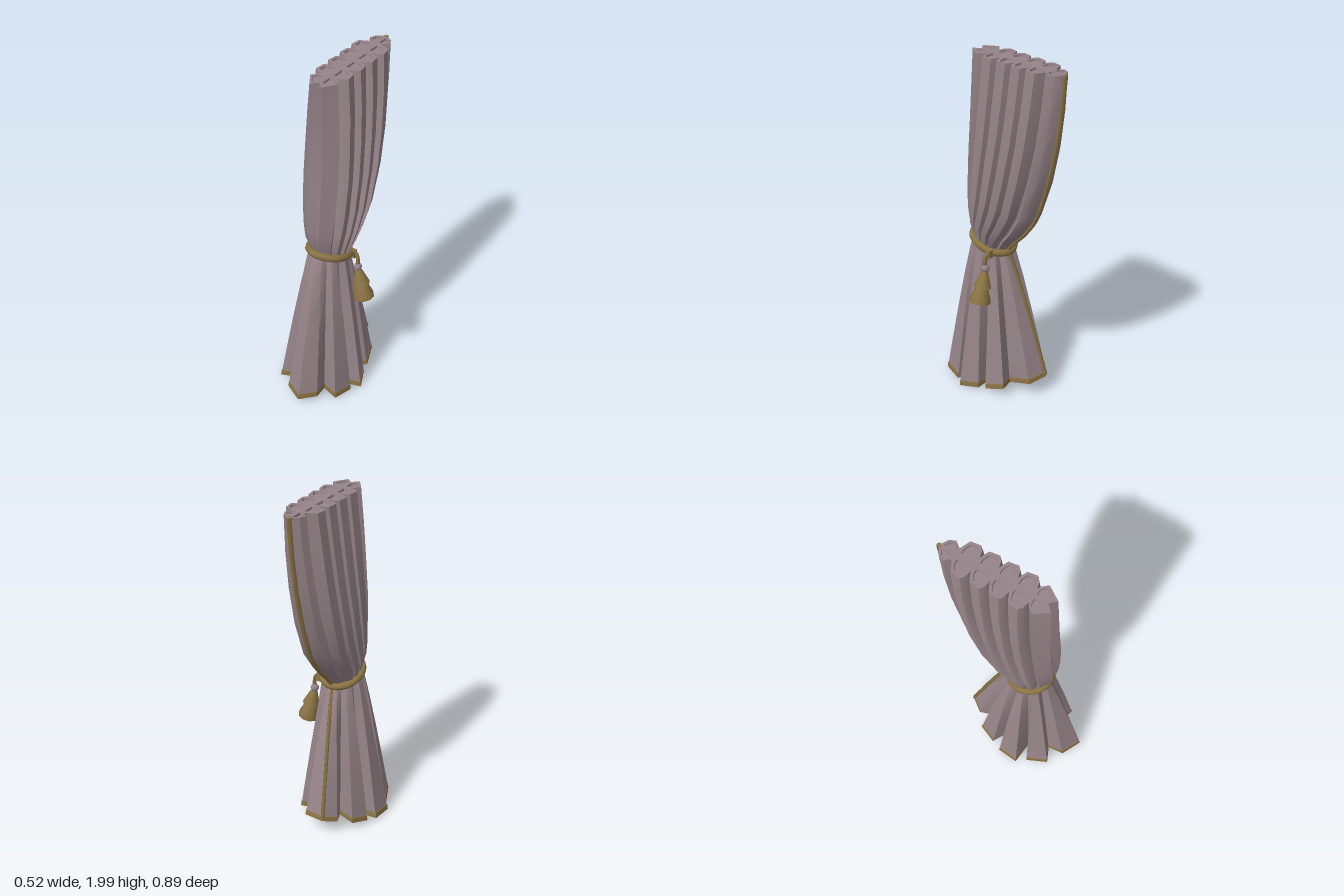
import * as THREE from 'three';
import { toCreasedNormals } from 'three/addons/utils/BufferGeometryUtils.js';

const D = THREE.DoubleSide;
const fabric = new THREE.MeshStandardMaterial({ color: 0x968489, side: D });
fabric.name = 'mauve fabric';
const gold = new THREE.MeshStandardMaterial({ color: 0x8a7344, side: D });
gold.name = 'old gold';

const CX = 0.015, CZ = 0.09, TIE_Y = 0.91, TILT = 0.33;
const lerp = THREE.MathUtils.lerp;

function meshFrom(name, positions, index, mat, crease = 0.6) {
  const g = new THREE.BufferGeometry();
  g.setAttribute('position', new THREE.Float32BufferAttribute(positions.flat(), 3));
  g.setIndex(index);
  const m = new THREE.Mesh(toCreasedNormals(g, crease), mat);
  m.name = name;
  return m;
}

// Skin over closed rings listed from bottom to top
function loft(name, rings, mat) {
  const n = rings[0].length, idx = [];
  for (let i = 0; i < rings.length - 1; i++)
    for (let j = 0; j < n; j++) {
      const k = (j + 1) % n, a = i * n + j, b = i * n + k;
      idx.push(a, b, b + n, a, b + n, a + n);
    }
  return meshFrom(name, rings.flat(), idx, mat);
}

// Flat cell with a rim around a shifted, smaller panel
function insetPanel(name, pts, scale, lift, mat) {
  const n = pts.length;
  const c = [0, 1, 2].map(k => pts.reduce((s, p) => s + p[k], 0) / n);
  const inner = (s, dy) => pts.map(p => [lerp(c[0], p[0], s), lerp(c[1], p[1], s) + dy, lerp(c[2], p[2], s)]);
  const all = [...pts, ...inner(scale, 0), ...inner(scale * 0.93, lift), [c[0], c[1] + lift, c[2]]];
  const up = lift < 0, idx = [];
  const tri = (a, b, d) => (up ? idx.push(a, b, d) : idx.push(a, d, b));
  for (let j = 0; j < n; j++) {
    const k = (j + 1) % n;
    for (const o of [0, n]) {
      tri(o + j, o + k, o + n + k);
      tri(o + j, o + n + k, o + n + j);
    }
    tri(2 * n + j, 2 * n + k, 3 * n);
  }
  return meshFrom(name, all, idx, mat, 0.3);
}

function tube(name, points, radius, sides, closed, mat) {
  const curve = new THREE.CatmullRomCurve3(points.map(p => new THREE.Vector3(...p)), closed);
  const m = new THREE.Mesh(new THREE.TubeGeometry(curve, 48, radius, sides, closed), mat);
  m.name = name;
  return m;
}

// Pleat cells of one half of the top outline, front to back
const cells = [[[0, 0.17], [0.035, 0.205], [0.085, 0.13], [0.06, 0.1], [0.04, 0.088]]];
for (const z of [0.035, -0.07, -0.175, -0.28])
  cells.push([[0.075, z + 0.045], [0.1, z + 0.025], [0.092, z - 0.03], [0.06, z - 0.045], [0.04, z - 0.053]]);
cells.push([[0.035, -0.345], [0.062, -0.37], [0.045, -0.405], [0, -0.43]]);
const half = cells.flat();
const outline = [...half, ...half.slice(1, -1).reverse().map(([x, z]) => [-x, z])];

// Height, front z, back z, half width of the upper drape
const rows = [
  [0.91, 0.2, -0.02, 0.11], [1.0, 0.235, -0.085, 0.133], [1.08, 0.243, -0.155, 0.142],
  [1.2, 0.245, -0.24, 0.146], [1.4, 0.235, -0.32, 0.143], [1.6, 0.222, -0.375, 0.132],
  [1.8, 0.213, -0.41, 0.118], [2, 0.205, -0.43, 0.1],
];
function upperPoint([px, pz], [Y, front, back, hw]) {
  const w = ((2 - Y) / 1.09) ** 2, u = (pz + 0.43) / 0.635;
  const round = Math.max(0.2, Math.sqrt(Math.max(0, 1 - (2 * u - 1) ** 2)));
  let n = Math.abs(px) / 0.1;
  if (n > 0.3) n = lerp(n, 0.95, w * 0.65);
  const z = lerp(back, front, u);
  return [CX + Math.sign(px) * n * hw * lerp(1, round, w), Y + TILT * (z - CZ) * w, z];
}

// Folds of the skirt at the hem: inner valley, then outer corners
const folds = [
  [[-0.08, 0.29], [-0.075, 0.385], [0.04, 0.445], [0.11, 0.355]],
  [[0.1, 0.27], [0.2, 0.3], [0.225, 0.18]],
  [[0.13, 0.17], [0.26, 0.125], [0.21, 0.02]],
  [[0.12, 0.03], [0.2, -0.03], [0.16, -0.14]],
  [[0.07, -0.1], [0.06, -0.25], [-0.06, -0.265], [-0.115, -0.19]],
  [[-0.07, -0.08], [-0.185, -0.135], [-0.225, -0.03]],
  [[-0.13, 0.02], [-0.25, 0.03], [-0.26, 0.155]],
  [[-0.13, 0.17], [-0.22, 0.21], [-0.17, 0.33]],
];
const hem = folds.flatMap(f => f.map((p, i) => ({ p, valley: i === 0 })));
const hemY = z => 0.01 + (z > 0.12 ? 0.11 * (z - 0.12) : 0.11 * ((0.12 - z) / 0.39) ** 1.5);
function skirtPoint(j, s, grow = 1) {
  const { p, valley } = hem[j];
  const a = ((j - 2) / hem.length) * Math.PI * 2, r = valley ? 0.86 : 1;
  const tx = CX + 0.108 * r * Math.sin(a), tz = CZ + 0.115 * r * Math.cos(a), f = s ** 0.87;
  const x = lerp(tx, p[0], f), z = lerp(tz, p[1], f);
  return [x * grow, lerp(TIE_Y + TILT * (tz - CZ), hemY(p[1]), s), CZ + (z - CZ) * grow];
}
const skirtRing = (s, grow) => hem.map((_, j) => skirtPoint(j, s, grow));

export function createModel() {
  const model = new THREE.Group();
  model.name = 'tiedCurtain';

  // Upper drape with recessed pleat tops
  model.add(loft('upperDrape', rows.map(r => outline.map(p => upperPoint(p, r))), fabric));
  const top = rows[rows.length - 1];
  cells.forEach((cell, i) => {
    const start = i ? [cells[i - 1].at(-1)] : [];
    const pts = [...start, ...cell];
    const zA = pts[0][1], zB = pts.at(-1)[1];
    const right = [...(i ? [[0, zA]] : []), ...pts, ...(i < cells.length - 1 ? [[0, zB]] : [])];
    for (const side of [1, -1]) {
      const poly = right.map(([x, z]) => upperPoint([x * side, z], top));
      model.add(insetPanel('pleatTop', side > 0 ? poly : poly.reverse(), 0.66, -0.012, fabric));
    }
  });

  // Flared skirt below the tie
  model.add(loft('skirt', [1, 0.75, 0.5, 0.25, 0.1, 0].map(s => skirtRing(s)), fabric));
  model.add(loft('hemBand', [skirtRing(1, 1.008), skirtRing(0.965, 1.012), skirtRing(0.962, 0.995)], gold));
  folds.forEach((fold, i) => {
    const next = folds[(i + 1) % folds.length][0];
    const poly = [...fold, next, [0.01, CZ]].map(([x, z]) => [x, hemY(z) + 0.001, z]);
    model.add(insetPanel('foldUnderside', poly, 0.8, 0.06, gold));
  });

  // Gold edging down the back
  const edge = rows.map(r => upperPoint([0, -0.43], r));
  model.add(tube('upperEdging', edge, 0.014, 5, false, gold));
  const cap = new THREE.Mesh(new THREE.CircleGeometry(0.014, 5), gold);
  cap.name = 'edgingCap';
  cap.rotation.x = -Math.PI / 2;
  cap.position.set(CX, 2, -0.43);
  model.add(cap);
  model.add(tube('lowerEdging', [0, 0.25, 0.5, 0.75, 0.99].map(s => skirtPoint(15, s)), 0.011, 5, false, gold));

  // Tilted tieback rope
  const loop = Array.from({ length: 16 }, (_, i) => {
    const a = (i / 16) * Math.PI * 2, dz = 0.12 * Math.cos(a);
    return [CX + 0.11 * Math.sin(a), TIE_Y + TILT * dz, CZ + dz];
  });
  model.add(tube('tieback', loop, 0.022, 8, true, gold));

  // Tassel hanging on the left
  const tassel = new THREE.Group();
  tassel.name = 'tassel';
  tassel.position.set(0.152, 0.8, 0.012);
  tassel.rotation.z = 0.22;
  const ball = new THREE.Mesh(new THREE.SphereGeometry(0.024, 10, 8), fabric);
  ball.name = 'tasselBall';
  tassel.add(ball);
  const skirts = [
    [[0.03, -0.108], [0.05, -0.112], [0.036, -0.07], [0.024, -0.035], [0.012, -0.015]],
    [[0.02, -0.17], [0.05, -0.198], [0.06, -0.203], [0.058, -0.18], [0.043, -0.14], [0.03, -0.1]],
  ];
  for (const profile of skirts) {
    const g = new THREE.LatheGeometry(profile.map(p => new THREE.Vector2(...p)), 10);
    const m = new THREE.Mesh(toCreasedNormals(g, 0.7), gold);
    m.name = 'tasselSkirt';
    tassel.add(m);
  }
  model.add(tassel);
  model.add(tube('tasselCord', [[0.1, 0.89, 0.01], [0.138, 0.885, 0.01], [0.152, 0.85, 0.012], [0.152, 0.8, 0.012]], 0.011, 6, false, gold));
  const knot = new THREE.Mesh(new THREE.BoxGeometry(0.035, 0.045, 0.03), gold);
  knot.name = 'tasselKnot';
  knot.position.set(0.118, 0.88, 0.012);
  model.add(knot);
  return model;
}
